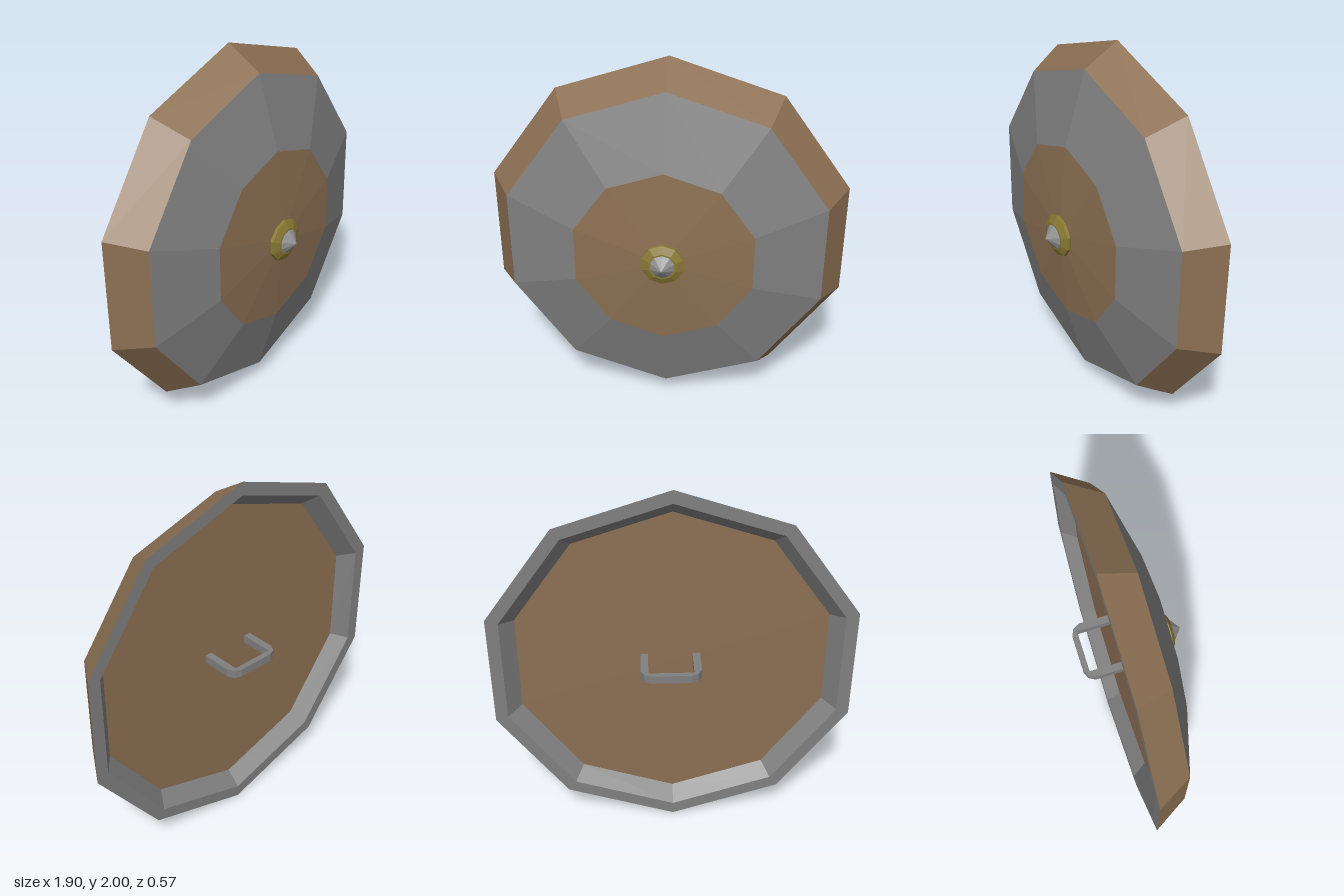
import * as THREE from 'three';

const SIDES = 10;

function material(name, color) {
  const m = new THREE.MeshStandardMaterial({ color });
  m.name = name;
  return m;
}

// Faceted ten-sided ring or dome around the z axis; profile is [radius, z] from back to front
function faceted(name, profile, mat) {
  const points = profile.map(([r, z]) => new THREE.Vector2(r, z));
  const geometry = new THREE.LatheGeometry(points, SIDES).rotateX(Math.PI / 2).toNonIndexed();
  geometry.computeVertexNormals();
  const mesh = new THREE.Mesh(geometry, mat);
  mesh.name = name;
  return mesh;
}

export function createModel() {
  const wood = material('brown wood', 0x8c7053);
  const iron = material('grey iron', 0x808080);
  const brass = material('dull brass', 0x8a7a33);
  const steel = material('pale steel', 0x909090);

  const model = new THREE.Group();
  model.name = 'shield';

  // Body, leaning back very slightly
  const body = new THREE.Group();
  body.name = 'shieldBody';
  body.position.y = 1;
  body.rotation.x = -0.004;
  body.add(
    faceted('backBoard', [[0, -0.07], [0.855, -0.07]], wood),
    faceted('backRim', [[0.855, -0.07], [0.93, -0.15], [1, -0.15]], iron),
    faceted('outerRim', [[1, -0.15], [0.883, 0.04]], wood),
    faceted('frontBand', [[0.883, 0.04], [0.495, 0.155]], iron),
    faceted('frontCentre', [[0.495, 0.155], [0, 0.198]], wood),
    faceted('boss', [[0.1, 0.18], [0.115, 0.195], [0.115, 0.212], [0.075, 0.231], [0, 0.231]], brass),
    faceted('spike', [[0.066, 0.225], [0.066, 0.231], [0, 0.282]], steel)
  );
  model.add(body);

  // Grip: a bracket with chamfered outer corners, flat in the xz plane
  const grip = new THREE.Shape([
    [-0.145, 0.06], [-0.145, 0.235], [-0.125, 0.27], [-0.09, 0.285],
    [0.115, 0.285], [0.15, 0.27], [0.17, 0.235], [0.17, 0.06],
    [0.13, 0.06], [0.13, 0.255], [-0.105, 0.255], [-0.105, 0.06],
  ].map(([x, y]) => new THREE.Vector2(x, y)));
  const gripGeometry = new THREE.ExtrudeGeometry(grip, { depth: 0.044, bevelEnabled: false });
  gripGeometry.rotateX(-Math.PI / 2);
  const handle = new THREE.Mesh(gripGeometry, iron);
  handle.name = 'handle';
  handle.position.y = 0.998;
  model.add(handle);

  return model;
}
